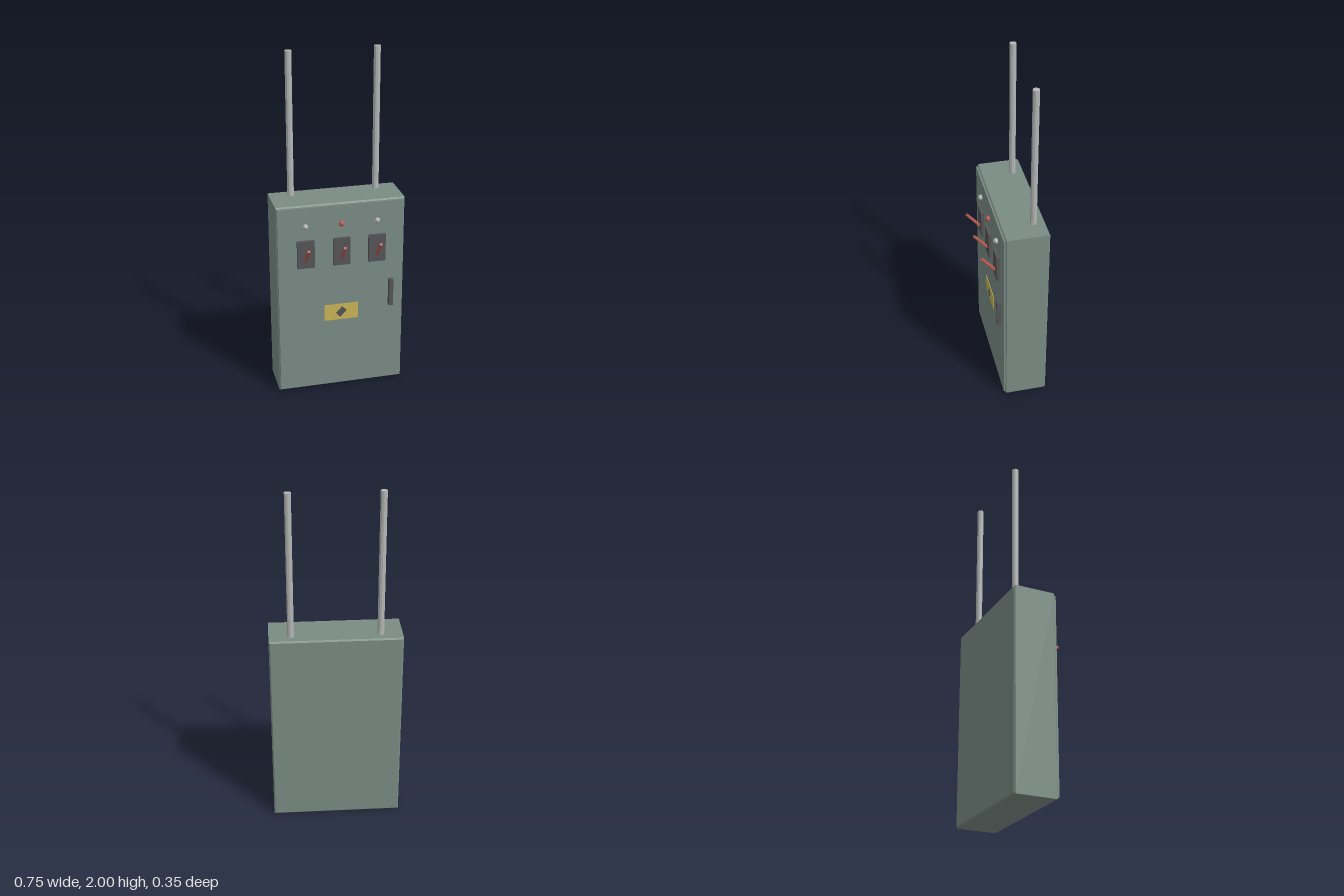
import * as THREE from 'three';

const mat = (name, color, extra = {}) => {
  const m = new THREE.MeshStandardMaterial({ color, ...extra });
  m.name = name;
  return m;
};

export function createModel() {
  const green = mat('cabinetGreen', 0x7a8c84);
  const dark = mat('darkGrey', 0x555557);
  const steel = mat('steel', 0xb4b6b6);
  const red = mat('red', 0xb55a4e);
  const yellow = mat('labelYellow', 0xc8b355);

  const root = new THREE.Group();
  root.name = 'electricalCabinet';
  const add = (name, geo, material, x, y, z) => {
    const mesh = new THREE.Mesh(geo, material);
    mesh.name = name;
    mesh.position.set(x, y, z);
    root.add(mesh);
    return mesh;
  };
  // Faceted round parts keep their flat sides
  const flat = (geo) => {
    const g = geo.index ? geo.toNonIndexed() : geo;
    g.computeVertexNormals();
    return g;
  };

  // Rectangular box with chamfered edges
  const chamferBox = (w, h, d, c) => {
    const a = w / 2 - c, b = h / 2 - c;
    const outline = new THREE.Shape([
      new THREE.Vector2(-a, -b), new THREE.Vector2(a, -b),
      new THREE.Vector2(a, b), new THREE.Vector2(-a, b),
    ]);
    const g = new THREE.ExtrudeGeometry(outline, {
      depth: d - 2 * c, bevelEnabled: true, bevelSegments: 1, bevelSize: c, bevelThickness: c,
    });
    return g.translate(0, 0, -d / 2 + c);
  };

  // Housing and door
  add('housing', chamferBox(0.746, 1.166, 0.248, 0.008), green, 0, 0.583, -0.054);
  add('door', new THREE.BoxGeometry(0.732, 1.144, 0.016), green, 0, 0.583, 0.07);

  // Conduits rising from the roof
  for (const x of [-0.25, 0.25]) {
    add('conduit', flat(new THREE.CylinderGeometry(0.019, 0.019, 0.85, 10)), steel, x, 1.575, -0.113);
  }

  // Three switches, each with a lamp above
  const leverStart = new THREE.Vector3(0, 0.84, 0.093);
  const leverEnd = new THREE.Vector3(0, 0.932, 0.17);
  const leverAxis = leverEnd.clone().sub(leverStart);
  const leverLength = leverAxis.length();
  leverAxis.normalize();
  for (const x of [-0.208, 0, 0.208]) {
    add('switchPlate', new THREE.BoxGeometry(0.1, 0.166, 0.017), dark, x, 0.877, 0.0855);
    const lever = add('switchLever', flat(new THREE.CylinderGeometry(0.009, 0.01, leverLength, 8)), red,
      x, (leverStart.y + leverEnd.y) / 2, (leverStart.z + leverEnd.z) / 2);
    lever.quaternion.setFromUnitVectors(new THREE.Vector3(0, 1, 0), leverAxis);
    add('lamp', flat(new THREE.SphereGeometry(0.016, 10, 8)), x === 0 ? red : steel, x, 1.046, 0.086);
  }

  // Door handle
  add('handle', new THREE.BoxGeometry(0.025, 0.166, 0.026), dark, 0.294, 0.587, 0.09);

  // Warning plate with a dark mark
  add('warningPlate', new THREE.BoxGeometry(0.2, 0.1, 0.005), yellow, 0, 0.488, 0.0785);
  const mark = new THREE.Shape([
    [-0.032, -0.005], [-0.006, -0.034], [0.006, -0.018], [0.032, 0.006], [0.004, 0.034], [-0.008, 0.018],
  ].map(([px, py]) => new THREE.Vector2(px, py)));
  add('warningMark', new THREE.ExtrudeGeometry(mark, { depth: 0.003, bevelEnabled: false }), dark, 0, 0.488, 0.0805);

  return root;
}
